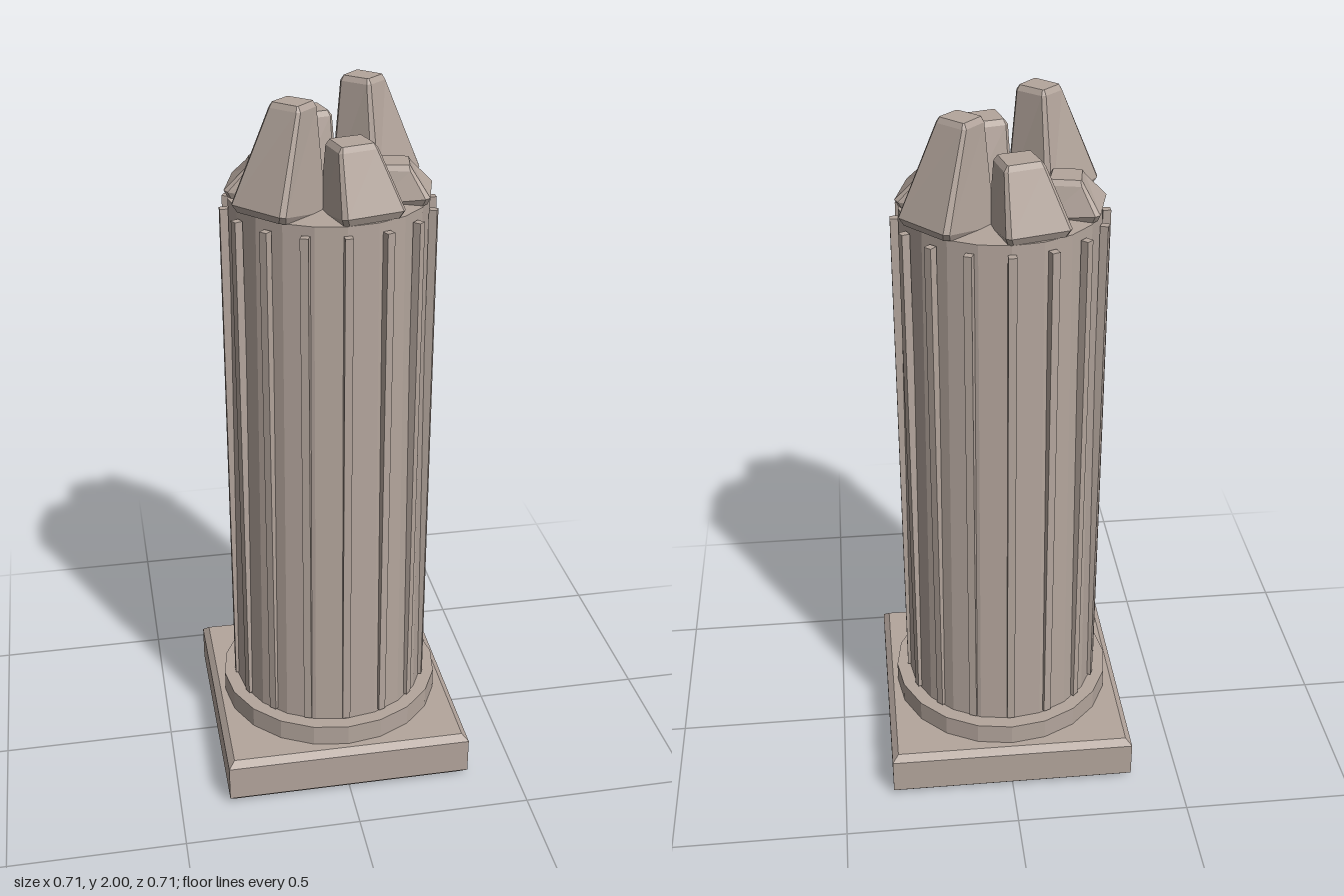
import * as THREE from 'three';

const stone = new THREE.MeshStandardMaterial({ color: 0xb3a59c, flatShading: true });

function add(parent, name, geometry, y = 0) {
  const mesh = new THREE.Mesh(geometry, stone);
  mesh.name = name;
  mesh.position.y = y;
  parent.add(mesh);
  return mesh;
}

// Closed solid through a stack of horizontal loops (back, right, front, left order)
function loft(loops) {
  const n = loops[0].length, verts = [];
  const tri = (a, b, c) => verts.push(...a, ...b, ...c);
  for (let k = 0; k < loops.length - 1; k++) {
    for (let i = 0; i < n; i++) {
      const j = (i + 1) % n, lo = loops[k], hi = loops[k + 1];
      tri(lo[i], hi[i], lo[j]);
      tri(lo[j], hi[i], hi[j]);
    }
  }
  const bottom = loops[0], top = loops[loops.length - 1];
  for (let i = 1; i < n - 1; i++) {
    tri(bottom[0], bottom[i], bottom[i + 1]);
    tri(top[0], top[i + 1], top[i]);
  }
  const g = new THREE.BufferGeometry();
  g.setAttribute('position', new THREE.Float32BufferAttribute(verts, 3));
  g.computeVertexNormals();
  return g;
}

// Four corners [x, z] scaled about their middle, each corner cut by a small chamfer
function section(quad, scale, cut, height) {
  const cx = quad.reduce((s, p) => s + p[0], 0) / 4;
  const cz = quad.reduce((s, p) => s + p[1], 0) / 4;
  const q = quad.map(([x, z]) => [cx + (x - cx) * scale, cz + (z - cz) * scale]);
  const loop = [];
  q.forEach((p, i) => {
    for (const o of [q[(i + 3) % 4], q[(i + 1) % 4]]) {
      const t = cut / Math.hypot(o[0] - p[0], o[1] - p[1]);
      const x = p[0] + (o[0] - p[0]) * t, z = p[1] + (o[1] - p[1]) * t;
      loop.push([x, height(x, z), z]);
    }
  });
  return loop;
}

// Broken stone tooth with bevelled edges, its underside rising outward
function toothGeometry({ base, top, y }) {
  const rim = (x, z) => 1.685 + 0.2 * Math.hypot(x, z);
  return loft([
    section(base, 0.9, 0.012, (x, z) => rim(x, z) - 0.018),
    section(base, 1, 0.012, rim),
    section(top, 1, 0.008, () => y - 0.014),
    section(top, 0.82, 0.003, () => y),
  ]);
}

const teeth = [
  { // tall
    base: [[0.16, -0.25], [0.28, -0.115], [0.128, 0.002], [0.02, -0.11]],
    top: [[0.107, -0.18], [0.176, -0.11], [0.117, -0.053], [0.048, -0.117]], y: 2,
  },
  { // medium
    base: [[-0.045, 0.095], [0.092, 0.052], [0.16, 0.237], [-0.014, 0.285]],
    top: [[-0.034, 0.123], [0.069, 0.098], [0.094, 0.193], [-0.013, 0.224]], y: 1.905,
  },
  { // short
    base: [[0.115, -0.035], [0.28, -0.002], [0.234, 0.165], [0.095, 0.085]],
    top: [[0.132, -0.022], [0.222, -0.002], [0.205, 0.095], [0.108, 0.073]], y: 1.81,
  },
];

export function createModel() {
  const model = new THREE.Group();
  model.name = 'brokenColumn';

  // Square plinth with chamfered top and bottom edges
  const square = (h, y) => [[-h, y, -h], [h, y, -h], [h, y, h], [-h, y, h]];
  add(model, 'plinth', loft([
    square(0.339, 0), square(0.357, 0.018), square(0.357, 0.124), square(0.339, 0.142),
  ]));

  // Round foot and slightly tapered shaft
  add(model, 'footRing', new THREE.CylinderGeometry(0.324, 0.324, 0.064, 20), 0.172);
  add(model, 'shaft', new THREE.CylinderGeometry(0.268, 0.284, 1.52, 20), 0.96);

  // Upright ribs around the shaft
  const ribs = new THREE.Group();
  ribs.name = 'ribs';
  model.add(ribs);
  const ribGeometry = new THREE.BoxGeometry(0.022, 1.485, 0.022);
  for (let i = 0; i < 16; i++) {
    const a = (i / 16) * Math.PI * 2;
    const rib = add(ribs, 'rib', ribGeometry, 0.953);
    rib.position.x = Math.sin(a) * 0.28;
    rib.position.z = Math.cos(a) * 0.28;
    rib.rotation.y = a;
  }

  // Crown of jagged teeth, repeated on the opposite side
  const crown = new THREE.Group();
  crown.name = 'brokenCrown';
  model.add(crown);
  for (const tooth of teeth) {
    const geometry = toothGeometry(tooth);
    for (const turn of [0, Math.PI]) add(crown, 'crownTooth', geometry).rotation.y = turn;
  }
  return model;
}
